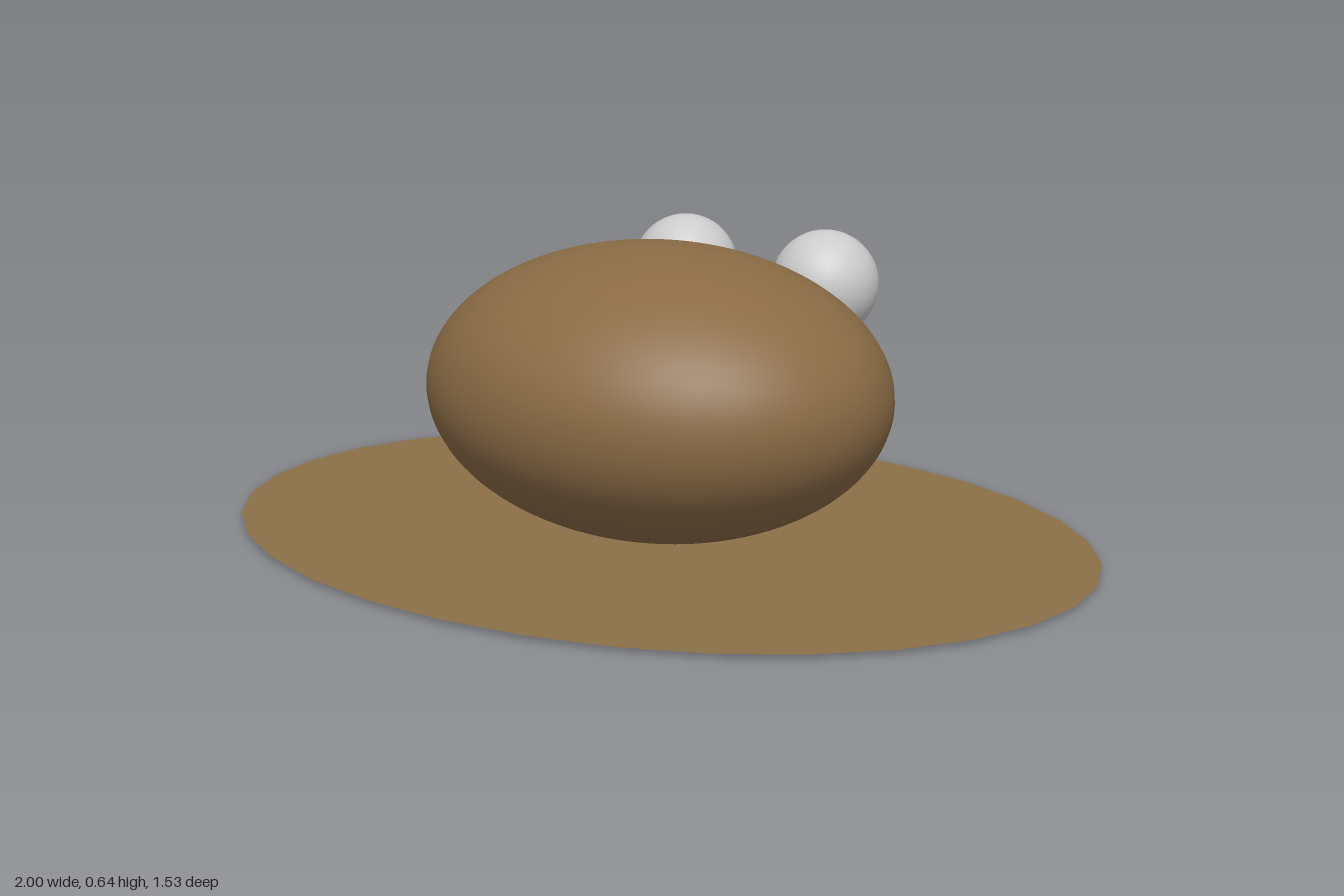
import * as THREE from 'three';

export function createModel() {
  const model = new THREE.Group();
  const add = (name, geometry, material, x, y, z) => {
    const mesh = new THREE.Mesh(geometry, material);
    mesh.name = name;
    mesh.position.set(x, y, z);
    model.add(mesh);
    return mesh;
  };

  const bodyMaterial = new THREE.MeshStandardMaterial({ color: 0x8b6b45 });
  const baseMaterial = new THREE.MeshStandardMaterial({ color: 0x8b7048, side: THREE.DoubleSide });
  const ballMaterial = new THREE.MeshStandardMaterial({ color: 0xcccccc });

  // Thin oval base; the body dips slightly through it
  const disc = new THREE.CircleGeometry(1, 32).rotateX(-Math.PI / 2).scale(1, 1, 0.767);
  add('base', disc, baseMaterial, 0, 0.01, 0);

  // Flattened egg-shaped body
  const egg = new THREE.SphereGeometry(1, 64, 64).scale(0.532, 0.319, 0.442);
  add('body', egg, bodyMaterial, 0, 0.32, 0);

  // Pair of balls at the upper back
  const ball = new THREE.SphereGeometry(0.12, 32, 32);
  for (const [name, side] of [['leftBall', 1], ['rightBall', -1]]) {
    add(name, ball, ballMaterial, side * 0.186, 0.51, -0.39);
  }

  return model;
}
